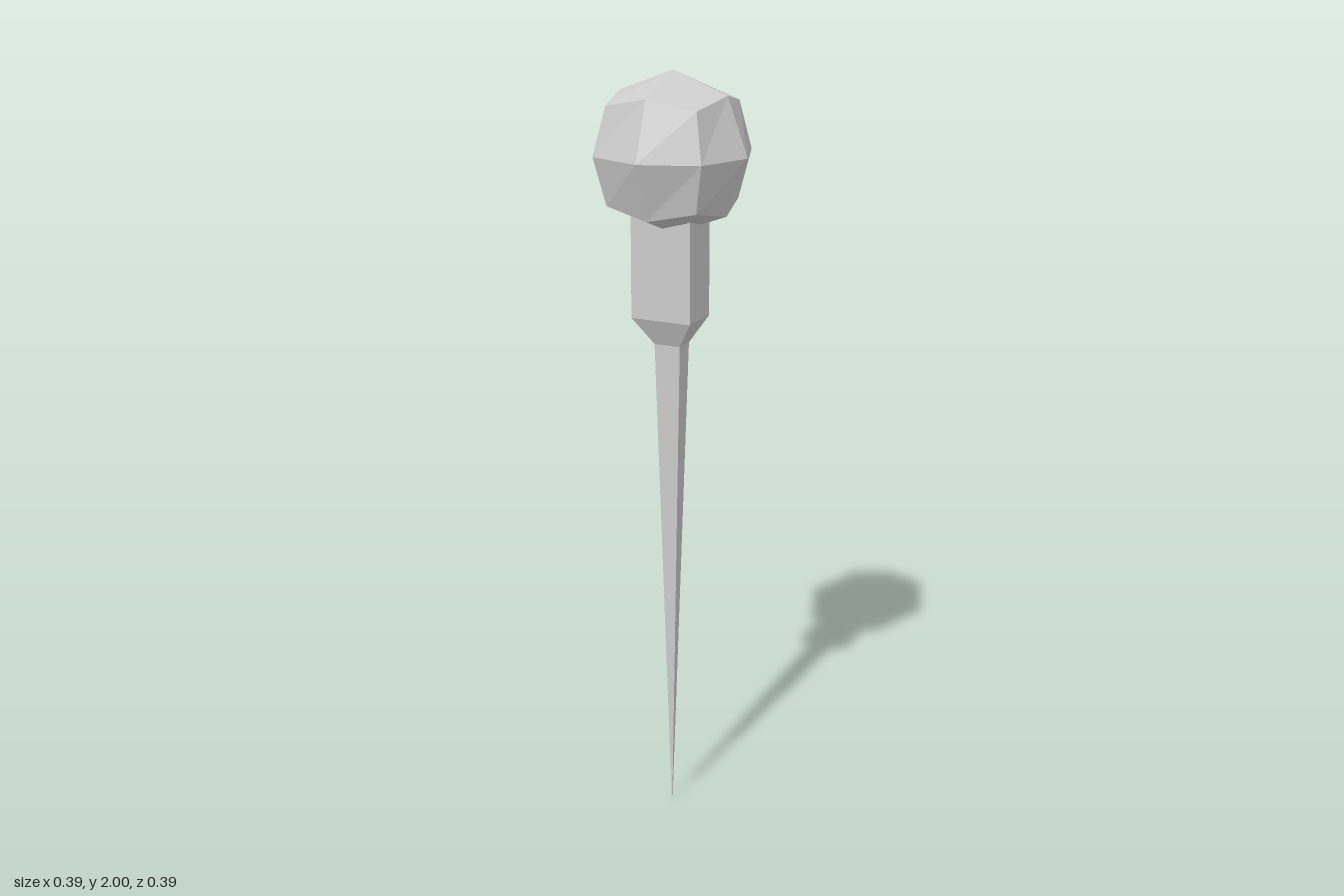
import * as THREE from 'three';

const material = new THREE.MeshStandardMaterial({ color: 0xcccccc, flatShading: true });

// Ball: a cube split once per side, its vertices pushed out to a rough sphere
function createHead() {
  const geo = new THREE.BoxGeometry(2, 2, 2, 2, 2, 2);
  const radii = [0, 0.199, 0.205, 0.2095]; // face centre, edge middle, corner
  const p = geo.attributes.position;
  const v = new THREE.Vector3();
  for (let i = 0; i < p.count; i++) {
    v.fromBufferAttribute(p, i);
    v.setLength(radii[Math.round(v.lengthSq())]);
    p.setXYZ(i, v.x, v.y, v.z);
  }
  geo.computeVertexNormals();
  const head = new THREE.Mesh(geo, material);
  head.name = 'head';
  head.position.y = 1.801;
  return head;
}

// Four-sided shaft: thick collar, short taper, then a long spike
function createShaft() {
  // height, half width, half depth, x offset, z offset (top to bottom)
  const rows = [
    [1.66, 0.0815, 0.0556, -0.005, 0.006],
    [1.39, 0.0815, 0.0556, -0.005, 0.006],
    [1.32, 0.0355, 0.0265, -0.003, 0.002],
    [0, 0.0008, 0.0008, -0.002, 0.002],
  ];
  const geo = new THREE.BoxGeometry(2, 3, 2, 1, 3, 1);
  const p = geo.attributes.position;
  for (let i = 0; i < p.count; i++) {
    const [y, w, d, ox, oz] = rows[Math.round(1.5 - p.getY(i))];
    p.setXYZ(i, ox + p.getX(i) * w, y, oz + p.getZ(i) * d);
  }
  geo.computeVertexNormals();
  const shaft = new THREE.Mesh(geo, material);
  shaft.name = 'shaft';
  return shaft;
}

export function createModel() {
  const model = new THREE.Group();
  model.name = 'pin';
  model.add(createHead(), createShaft());
  // The whole pin is turned slightly about its axis
  for (const part of model.children) part.rotation.y = -THREE.MathUtils.degToRad(10);
  return model;
}
